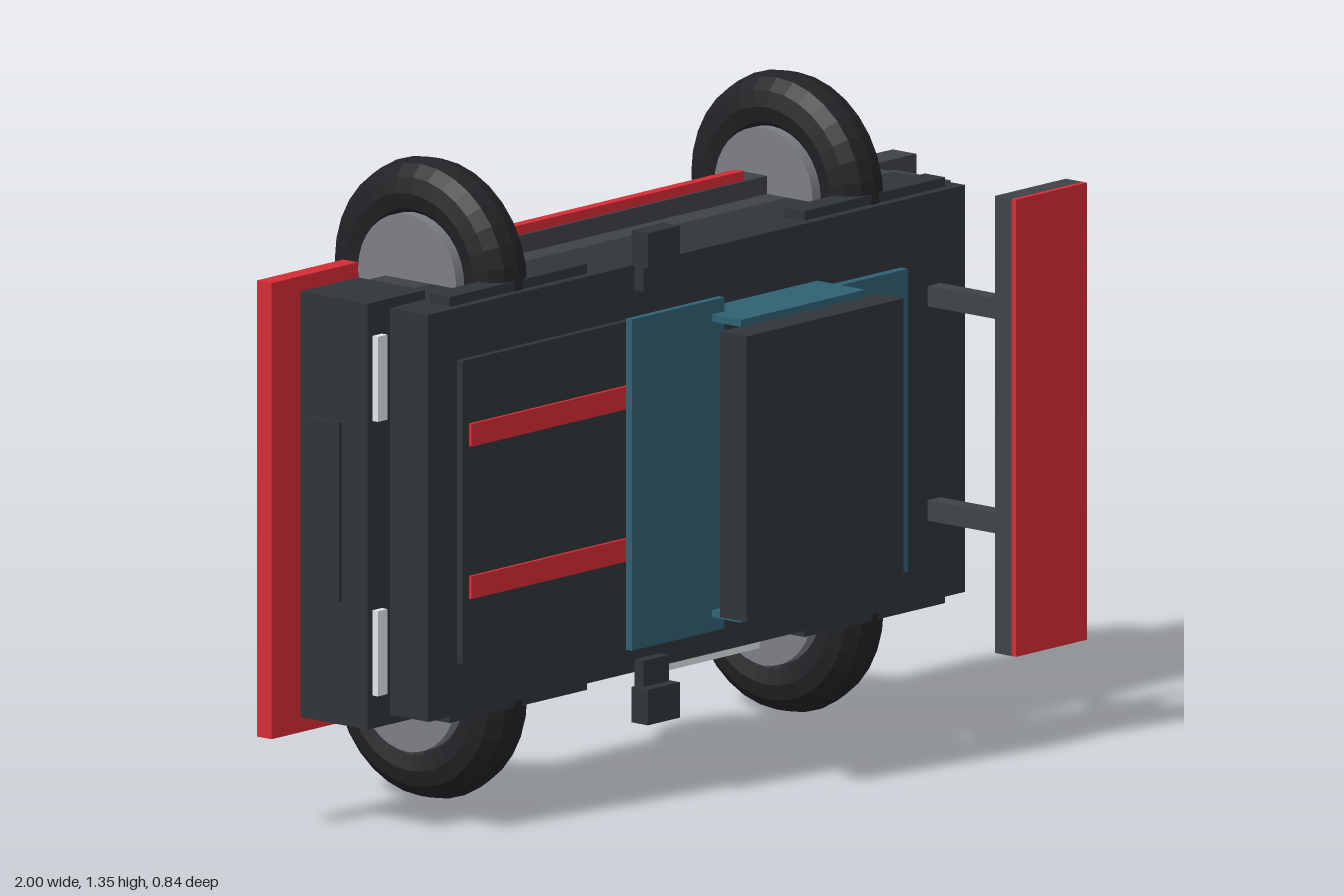
import * as THREE from 'three';

const MID = 0.68; // plane of symmetry of the car, which lies with its roof towards +z

const material = (color, flatShading = false) => {
  const m = new THREE.MeshStandardMaterial({ flatShading });
  m.color.set(color);
  return m;
};

export function createModel() {
  const group = new THREE.Group();
  const dark = material(0x2f3538);
  const grey = material(0x3f4347);
  const red = material(0xd62c34);
  const glass = material(0x2f6173);
  const white = material(0xdfe6e9);
  const rubber = material(0x222226, true);
  const metal = material(0x7c7f86);

  // box given by its limits along x, y and z
  function box(name, mat, x0, x1, y0, y1, z0, z1) {
    const mesh = new THREE.Mesh(new THREE.BoxGeometry(x1 - x0, y1 - y0, z1 - z0), mat);
    mesh.position.set((x0 + x1) / 2, (y0 + y1) / 2, (z0 + z1) / 2);
    mesh.name = name;
    group.add(mesh);
  }
  // box centred on the symmetry plane, with a half width
  const centred = (name, mat, x0, x1, half, z0, z1) =>
    box(name, mat, x0, x1, MID - half, MID + half, z0, z1);
  // mirrored pair, from inner to outer distance off the symmetry plane
  function pair(name, mat, x0, x1, inner, outer, z0, z1) {
    box(name + 'Upper', mat, x0, x1, MID + inner, MID + outer, z0, z1);
    box(name + 'Lower', mat, x0, x1, MID - outer, MID - inner, z0, z1);
  }

  // body
  centred('body', dark, -0.84, 0.84, 0.43, -0.11, 0.085);
  centred('chassis', grey, -0.73, 0.84, 0.43, -0.235, -0.11);
  centred('nose', dark, -0.91, -0.73, 0.45, -0.205, -0.02);
  centred('grille', dark, -0.92, -0.9, 0.19, -0.175, -0.09);
  centred('tail', grey, 0.78, 0.93, 0.408, -0.2, -0.035);
  centred('diffuser', grey, 0.8, 1.0, 0.43, -0.255, -0.19);
  centred('frontSplitter', red, -1.0, -0.73, 0.482, -0.245, -0.205);
  pair('sill', grey, -0.46, 0.52, 0.42, 0.468, -0.235, -0.165);
  pair('sillStripe', red, -0.37, 0.44, 0.46, 0.488, -0.195, -0.172);
  pair('frontFender', dark, -0.75, -0.32, 0.42, 0.45, 0.01, 0.065);
  pair('rearFender', dark, 0.36, 0.8, 0.42, 0.45, 0.01, 0.065);
  box('sidePanel', white, -0.14, 0.2, 0.235, 0.252, -0.1, 0.082);

  // hood
  centred('hood', dark, -0.75, -0.2, 0.32, 0.08, 0.1);
  pair('hoodStripe', red, -0.73, -0.22, 0.137, 0.185, 0.098, 0.108);

  // cabin
  centred('windshield', glass, -0.32, -0.03, 0.35, 0.172, 0.188);
  centred('rearWindow', glass, 0.25, 0.53, 0.32, 0.18, 0.2);
  pair('sideWindow', glass, -0.07, 0.32, 0.305, 0.32, 0.135, 0.268);
  centred('roof', dark, -0.12, 0.37, 0.302, 0.255, 0.328);

  // lights
  pair('headlight', white, -0.895, -0.865, 0.2, 0.38, -0.025, -0.005);
  pair('tailLight', red, 0.877, 0.907, 0.195, 0.363, -0.04, 0.025);

  // mirrors
  pair('mirrorArm', dark, -0.24, -0.16, 0.39, 0.47, 0.125, 0.15);
  pair('mirror', dark, -0.255, -0.155, 0.445, 0.52, 0.13, 0.175);

  // rear wing
  pair('wingSupport', grey, 0.68, 0.72, 0.205, 0.248, 0.122, 0.365);
  centred('wing', grey, 0.618, 0.84, 0.483, 0.362, 0.408);
  centred('wingTop', red, 0.618, 0.84, 0.483, 0.408, 0.42);

  // wheels, turning about x
  const tyreGeometry = new THREE.TorusGeometry(0.177, 0.067, 12, 32).rotateY(Math.PI / 2);
  const rimGeometry = new THREE.CylinderGeometry(0.135, 0.135, 0.15, 32).rotateZ(Math.PI / 2);
  for (const x of [-0.535, 0.58]) {
    for (const side of [-1, 1]) {
      const wheel = new THREE.Group();
      wheel.name = (x < 0 ? 'front' : 'rear') + 'Wheel' + (side > 0 ? 'Upper' : 'Lower');
      const tyre = new THREE.Mesh(tyreGeometry, rubber);
      tyre.name = 'tyre';
      const rim = new THREE.Mesh(rimGeometry, metal);
      rim.name = 'rim';
      wheel.add(tyre, rim);
      wheel.position.set(x, MID + side * 0.433, -0.175);
      group.add(wheel);
    }
  }
  return group;
}
